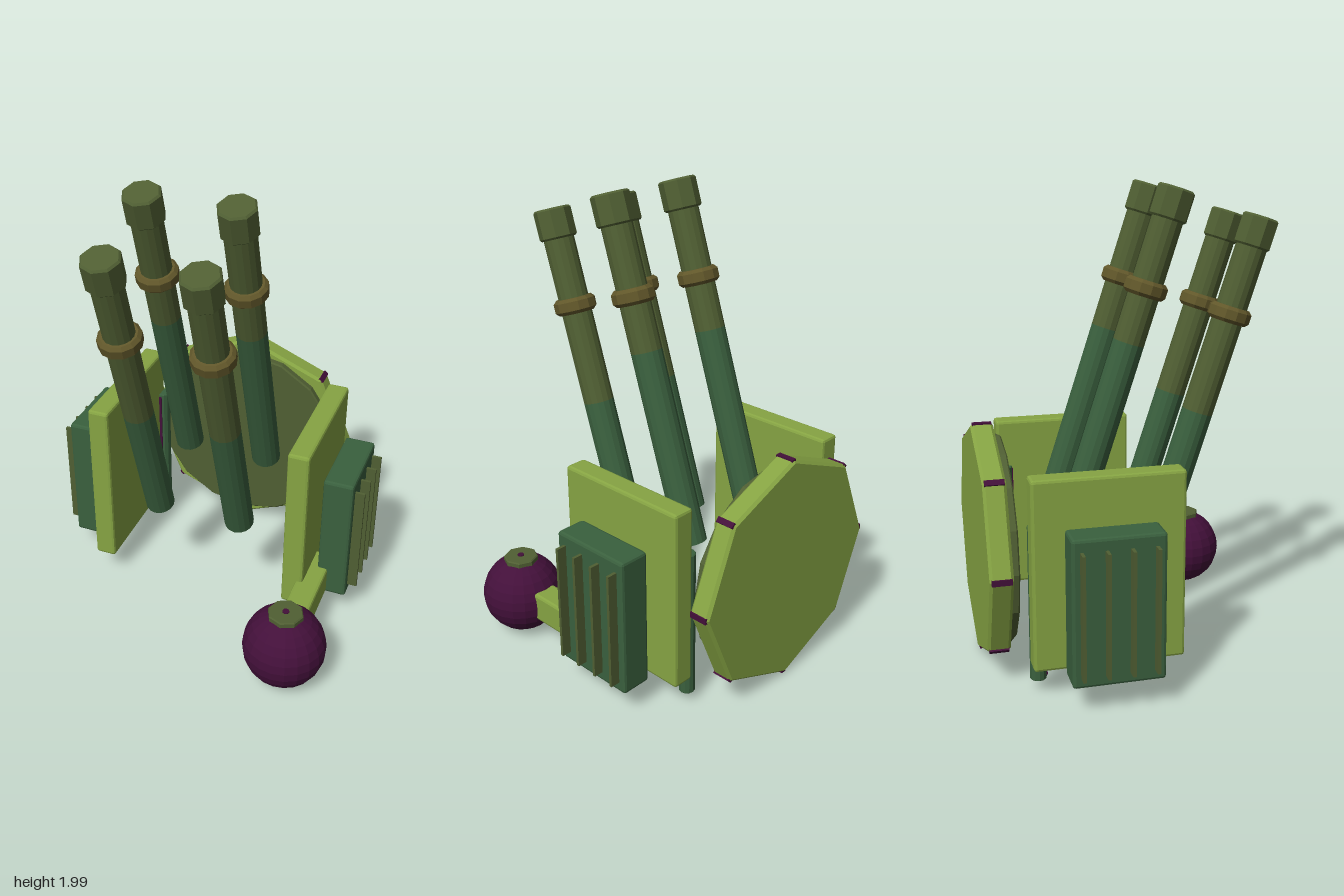
import * as THREE from 'three';
import { RoundedBoxGeometry } from 'three/addons/geometries/RoundedBoxGeometry.js';

const mat = (name, color) => new THREE.MeshStandardMaterial({ name, color, flatShading: true });

export function createModel() {
  const lime = mat('lime green', 0x86a443);
  const olive = mat('olive', 0x505f33);
  const teal = mat('dark green', 0x3a603e);
  const bronze = mat('bronze', 0x61572a);
  const plum = mat('plum', 0x43103a);
  const model = new THREE.Group();

  const add = (parent, name, geometry, material, x = 0, y = 0, z = 0) => {
    const mesh = new THREE.Mesh(geometry, material);
    mesh.name = name;
    mesh.position.set(x, y, z);
    parent.add(mesh);
    return mesh;
  };
  // Chamfered block from its size
  const block = (w, h, d, bevel = 0.012) => new RoundedBoxGeometry(w, h, d, 1, bevel);
  // Chamfered prism standing on y = 0
  const prism = (r, h, sides, b = 0.01) => new THREE.LatheGeometry(
    [[0, 0], [r - b, 0], [r, b], [r, h - b], [r - b, h], [0, h]].map(p => new THREE.Vector2(...p)), sides);

  // Octagonal back shield with its inner disc and rim marks
  const shield = new THREE.Group();
  shield.name = 'backShield';
  shield.position.set(0, 0.515, -0.64);
  model.add(shield);
  add(shield, 'shieldPlate', prism(0.505, 0.095, 8, 0.012), lime).rotation.x = Math.PI / 2;
  add(shield, 'shieldInnerDisc', prism(0.447, 0.04, 16, 0.006), olive, 0, 0, 0.087).rotation.x = Math.PI / 2;
  for (let i = 0; i < 8; i++) {
    const a = i * Math.PI / 4;
    const mark = add(shield, 'rimMark', new THREE.BoxGeometry(0.024, 0.014, 0.08), plum,
      Math.sin(a) * 0.5, Math.cos(a) * 0.5, 0.0475);
    mark.rotation.z = -a;
  }

  // Mirrored side plates, finned radiators and rear posts
  for (const s of [1, -1]) {
    const side = new THREE.Group();
    side.name = s > 0 ? 'leftSide' : 'rightSide';
    model.add(side);
    add(side, 'sidePlate', block(0.096, 0.79, 0.62), lime, s * 0.459, 0.517, -0.167);
    add(side, 'radiator', block(0.134, 0.605, 0.372), teal, s * 0.606, 0.423, -0.17);
    for (let i = 0; i < 4; i++) {
      add(side, 'radiatorFin', new THREE.BoxGeometry(0.05, 0.51, 0.013), olive,
        s * 0.69, 0.421, -0.318 + i * 0.0975);
    }
    add(side, 'rearPost', prism(0.034, 0.655, 12, 0.004), teal, s * 0.406, 0.047, -0.444);
    add(side, 'postStripe', new THREE.BoxGeometry(0.014, 0.63, 0.006), plum, s * 0.406, 0.375, -0.41);
  }

  // Four barrels leaning forward
  const barrel = (name, x, y, z, split) => {
    const g = new THREE.Group();
    g.name = name;
    g.position.set(x, y, z);
    g.rotation.x = THREE.MathUtils.degToRad(18);
    model.add(g);
    const top = 1.459;
    add(g, 'lowerBarrel', new THREE.CylinderGeometry(0.065, 0.065, split, 16), teal, 0, split / 2);
    add(g, 'upperBarrel', new THREE.CylinderGeometry(0.065, 0.065, top - 0.05 - split, 16), olive,
      0, (split + top - 0.05) / 2);
    add(g, 'barrelRing', prism(0.09, 0.066, 12, 0.014), bronze, 0, 1.015);
    add(g, 'muzzle', prism(0.08, 0.128, 8, 0.008), olive, 0, top - 0.128);
  };
  for (const x of [0.19, -0.19]) {
    barrel('frontBarrel', x, 0.469, 0.091, 0.625);
    barrel('rearBarrel', x, 0.586, -0.266, 0.82);
  }

  // Ball on an arm at the model's left
  add(model, 'ballArm', block(0.11, 0.13, 0.47), lime, 0.53, 0.188, 0.14);
  add(model, 'ball', new THREE.SphereGeometry(0.177, 20, 14), plum, 0.53, 0.181, 0.46);
  add(model, 'ballCap', prism(0.076, 0.03, 8, 0.005), olive, 0.53, 0.335, 0.46);
  add(model, 'ballCapStud', new THREE.CylinderGeometry(0.015, 0.015, 0.006, 8), plum, 0.53, 0.366, 0.46);

  return model;
}
